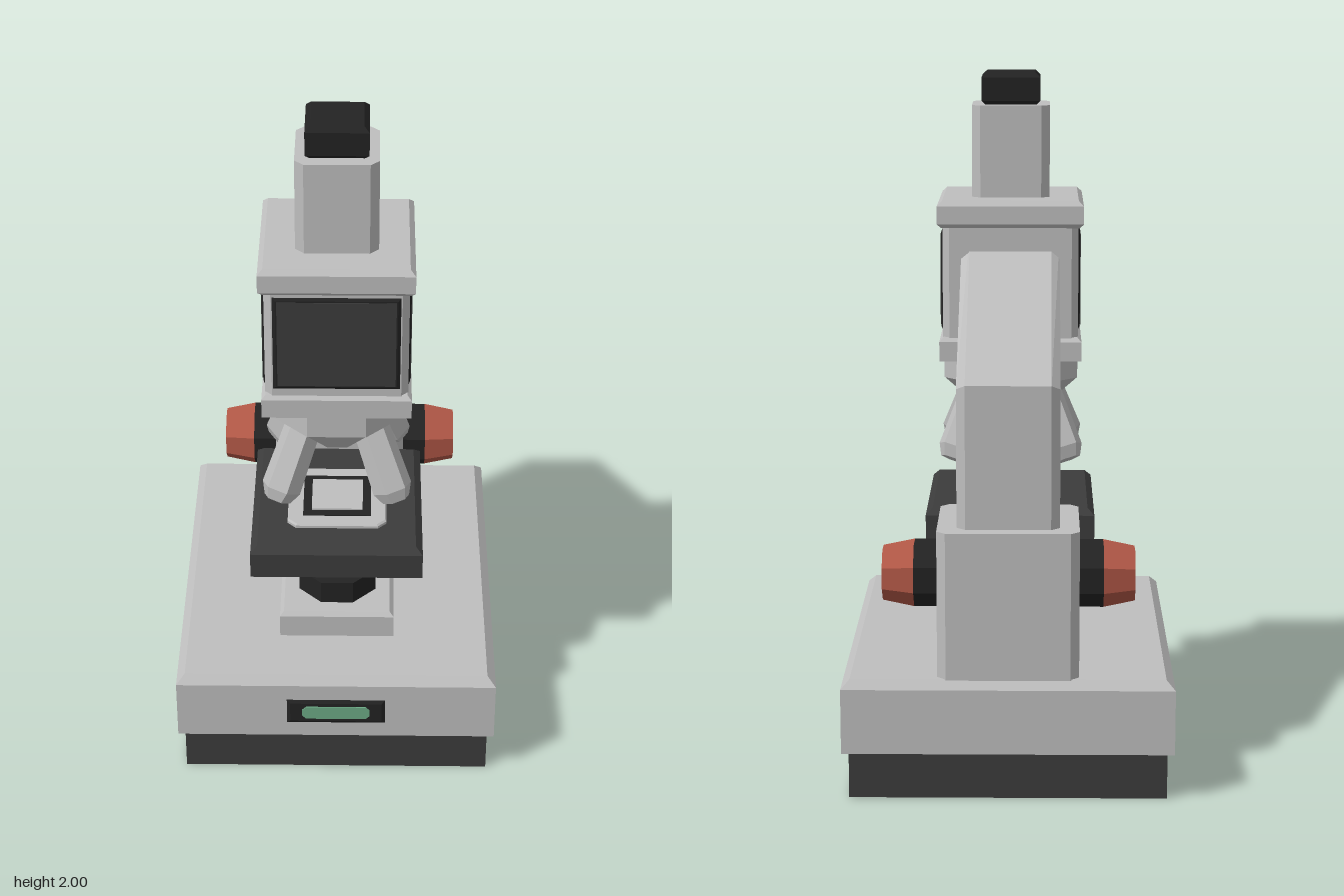
import * as THREE from 'three';

const paint = (name, color) => {
  const m = new THREE.MeshStandardMaterial({ color, flatShading: true });
  m.name = name;
  return m;
};

// Box-like solid from [y, halfWidth, halfDepth] sections, with cut vertical corners.
function prism(sections, cut = 0) {
  const loops = sections.map(([y, w, d]) => {
    const p = cut
      ? [[w - cut, d], [w, d - cut], [w, cut - d], [w - cut, -d], [cut - w, -d], [-w, cut - d], [-w, d - cut], [cut - w, d]]
      : [[w, d], [w, -d], [-w, -d], [-w, d]];
    return p.map(([x, z]) => [x, y, z]);
  });
  const out = [];
  const n = loops[0].length;
  const tri = (a, b, c) => out.push(...a, ...b, ...c);
  for (let k = 0; k + 1 < loops.length; k++) {
    for (let i = 0; i < n; i++) {
      const j = (i + 1) % n;
      tri(loops[k][i], loops[k][j], loops[k + 1][j]);
      tri(loops[k][i], loops[k + 1][j], loops[k + 1][i]);
    }
  }
  const bottom = loops[0], top = loops[loops.length - 1];
  for (let i = 1; i + 1 < n; i++) {
    tri(top[0], top[i], top[i + 1]);
    tri(bottom[0], bottom[i + 1], bottom[i]);
  }
  const g = new THREE.BufferGeometry();
  g.setAttribute('position', new THREE.Float32BufferAttribute(out, 3));
  g.computeVertexNormals();
  return g;
}

// Block with bevelled top and bottom rims.
const block = (y0, y1, w, d, top = 0, bottom = 0, cut = 0) => {
  const s = [];
  if (bottom) s.push([y0, w - bottom, d - bottom]);
  s.push([y0 + bottom, w, d], [y1 - top, w, d]);
  if (top) s.push([y1, w - top, d - top]);
  return prism(s, cut);
};

// Octagonal drum sized across its flats.
const drum = (top, bottom, h) => {
  const k = 1 / Math.cos(Math.PI / 8);
  return new THREE.CylinderGeometry(top * k, bottom * k, h, 8, 1, false, Math.PI / 8);
};

export function createModel() {
  const model = new THREE.Group();
  model.name = 'microscope';
  const grey = paint('light grey', 0xbebebe);
  const dark = paint('dark grey', 0x3c3c3c);
  const black = paint('black', 0x232323);
  const red = paint('red', 0xb25847);
  const green = paint('green', 0x6cab86);

  const add = (name, geo, mat, x = 0, y = 0, z = 0, parent = model) => {
    const m = new THREE.Mesh(geo, mat);
    m.name = name;
    m.position.set(x, y, z);
    parent.add(m);
    return m;
  };

  // Base with indicator on the front
  add('foot', block(0, 0.135, 0.45, 0.548), dark);
  add('base', block(0.135, 0.348, 0.47, 0.565, 0.025), grey);
  add('indicatorFrame', prism([[0, 0.145, 0.043], [0.006, 0.135, 0.033]]), black, 0, 0.228, 0.565).rotation.x = Math.PI / 2;
  add('indicatorLight', prism([[0, 0.1, 0.022], [0.004, 0.1, 0.022]], 0.012), green, 0, 0.228, 0.57).rotation.x = Math.PI / 2;

  // Lamp under the stage
  add('lampPlinth', block(0.345, 0.432, 0.17, 0.285, 0.012), grey, 0, 0, 0.075);
  add('lampHousing', drum(0.115, 0.115, 0.075), black, 0, 0.467, 0.19);
  add('lampLens', drum(0.085, 0.085, 0.006), grey, 0, 0.506, 0.19);

  // Stage, slide holder and bracket
  add('stageBracket', block(0.43, 0.635, 0.16, 0.1), dark, 0, 0, -0.115);
  add('stage', block(0.63, 0.73, 0.25, 0.268, 0.02), dark, 0, 0, 0.172);
  add('stagePlate', block(0.73, 0.742, 0.145, 0.145, 0.004, 0, 0.025), grey, 0, 0, 0.19);
  add('stageOpening', block(0.74, 0.745, 0.1, 0.1), black, 0, 0, 0.19);
  add('slide', block(0.744, 0.75, 0.075, 0.075), grey, 0, 0, 0.19);

  // Column and bent arm
  add('column', block(0.345, 0.77, 0.2, 0.172, 0, 0, 0.025), grey, 0, 0, -0.372);
  const profile = new THREE.Shape([
    [-0.1, 1.555], [0.5, 1.178], [0.5, 0.7], [0.235, 0.7], [0.235, 1.03], [-0.1, 1.25],
  ].map(([a, y]) => new THREE.Vector2(a, y)));
  const armGeo = new THREE.ExtrudeGeometry(profile, {
    depth: 0.24, bevelEnabled: true, bevelSegments: 1,
    bevelSize: 0.025, bevelThickness: 0.025, bevelOffset: -0.025,
  });
  armGeo.translate(0, 0, -0.12);
  armGeo.rotateY(Math.PI / 2);
  add('arm', armGeo, grey);

  // Focus knobs and small stage screws on both sides
  for (const s of [1, -1]) {
    const turn = -s * Math.PI / 2;
    add('knobCollar', drum(0.09, 0.09, 0.08), black, s * 0.23, 0.605, -0.347).rotation.z = turn;
    add('focusKnob', drum(0.073, 0.09, 0.09), red, s * 0.315, 0.605, -0.347).rotation.z = turn;
    add('stageScrew', new THREE.CylinderGeometry(0.043, 0.043, 0.1, 6, 1, false, Math.PI / 2),
      grey, s * 0.2, 0.507, -0.092).rotation.z = turn;
  }

  // Head with framed panels
  const head = new THREE.Group();
  head.name = 'head';
  head.position.z = 0.19;
  model.add(head);
  add('headBody', block(1.22, 1.57, 0.2, 0.2, 0, 0, 0.02), grey, 0, 0, 0, head);
  add('lowerFlange', block(1.16, 1.23, 0.21, 0.21, 0.012), grey, 0, 0, 0, head);
  add('upperFlange', block(1.555, 1.635, 0.215, 0.215, 0.015, 0.012), grey, 0, 0, 0, head);
  for (const i of [-1, 0, 1]) {
    const side = new THREE.Group();
    side.name = 'headPanel';
    side.rotation.y = i * Math.PI / 2;
    head.add(side);
    add('panelFrame', prism([[0, 0.178, 0.148], [0.006, 0.168, 0.138]]), black, 0, 1.398, 0.199, side).rotation.x = Math.PI / 2;
    add('panel', prism([[0, 0.164, 0.134], [0.003, 0.164, 0.134]]), dark, 0, 1.398, 0.204, side).rotation.x = Math.PI / 2;
  }

  // Eyepiece tube and cap
  add('eyepieceTube', block(1.63, 1.905, 0.115, 0.115, 0, 0, 0.025), grey, 0, 0, 0, head);
  add('eyepiece', block(1.905, 2, 0.087, 0.087, 0.015, 0.012), black, 0, 0, 0, head);

  // Revolving nosepiece with four splayed objectives
  add('nosepiece', drum(0.2, 0.2, 0.075), grey, 0, 1.126, 0, head);
  add('nosepieceCone', drum(0.2, 0.07, 0.125), grey, 0, 1.0275, 0, head);
  for (let i = 0; i < 4; i++) {
    const turret = new THREE.Group();
    turret.name = 'objective';
    turret.rotation.y = Math.PI / 4 + i * Math.PI / 2;
    head.add(turret);
    const tilt = new THREE.Group();
    tilt.position.set(0, 1.09, 0.12);
    tilt.rotation.x = -0.48;
    turret.add(tilt);
    add('objectiveBarrel', new THREE.CylinderGeometry(0.052, 0.058, 0.23, 6), grey, 0, -0.115, 0, tilt);
    add('objectiveTip', new THREE.CylinderGeometry(0.058, 0.04, 0.035, 6), grey, 0, -0.2475, 0, tilt);
  }
  return model;
}
